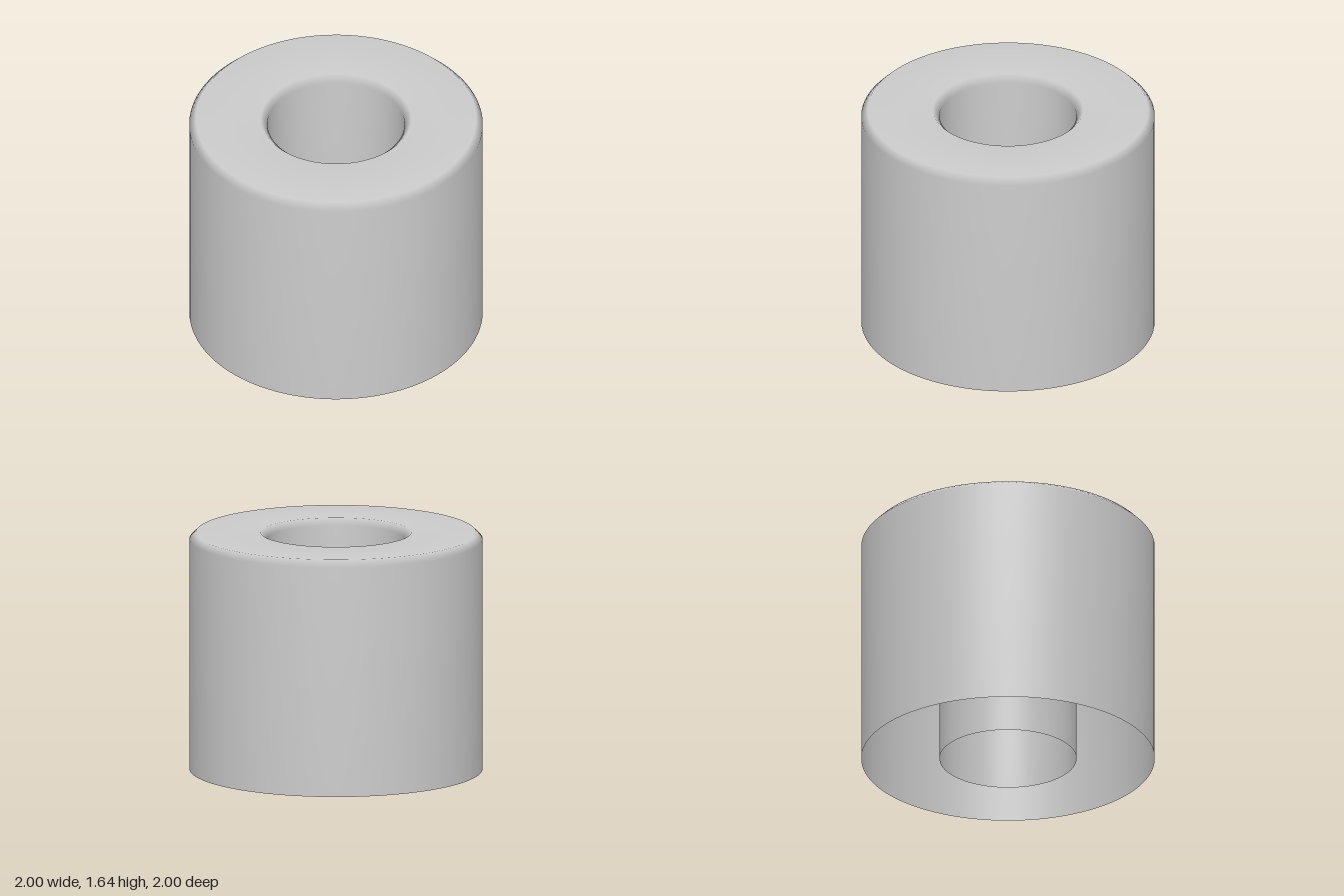
import * as THREE from 'three';

export function createModel() {
  const group = new THREE.Group();
  group.name = 'hollowRing';

  const outer = 1, inner = 0.467, height = 1.64, bevel = 0.045;

  // Thin shell, open underneath: outer wall, bevelled top ring, inner tube
  const profile = [
    [outer, 0],
    [outer, height - bevel],
    [outer - bevel, height],
    [inner + bevel, height],
    [inner, height - bevel],
    [inner, 0],
  ].map(([r, y]) => new THREE.Vector2(r, y));

  const shell = new THREE.Mesh(
    new THREE.LatheGeometry(profile, 128),
    new THREE.MeshStandardMaterial({ color: 0xcccccc, side: THREE.DoubleSide })
  );
  shell.name = 'shell';
  group.add(shell);

  return group;
}
